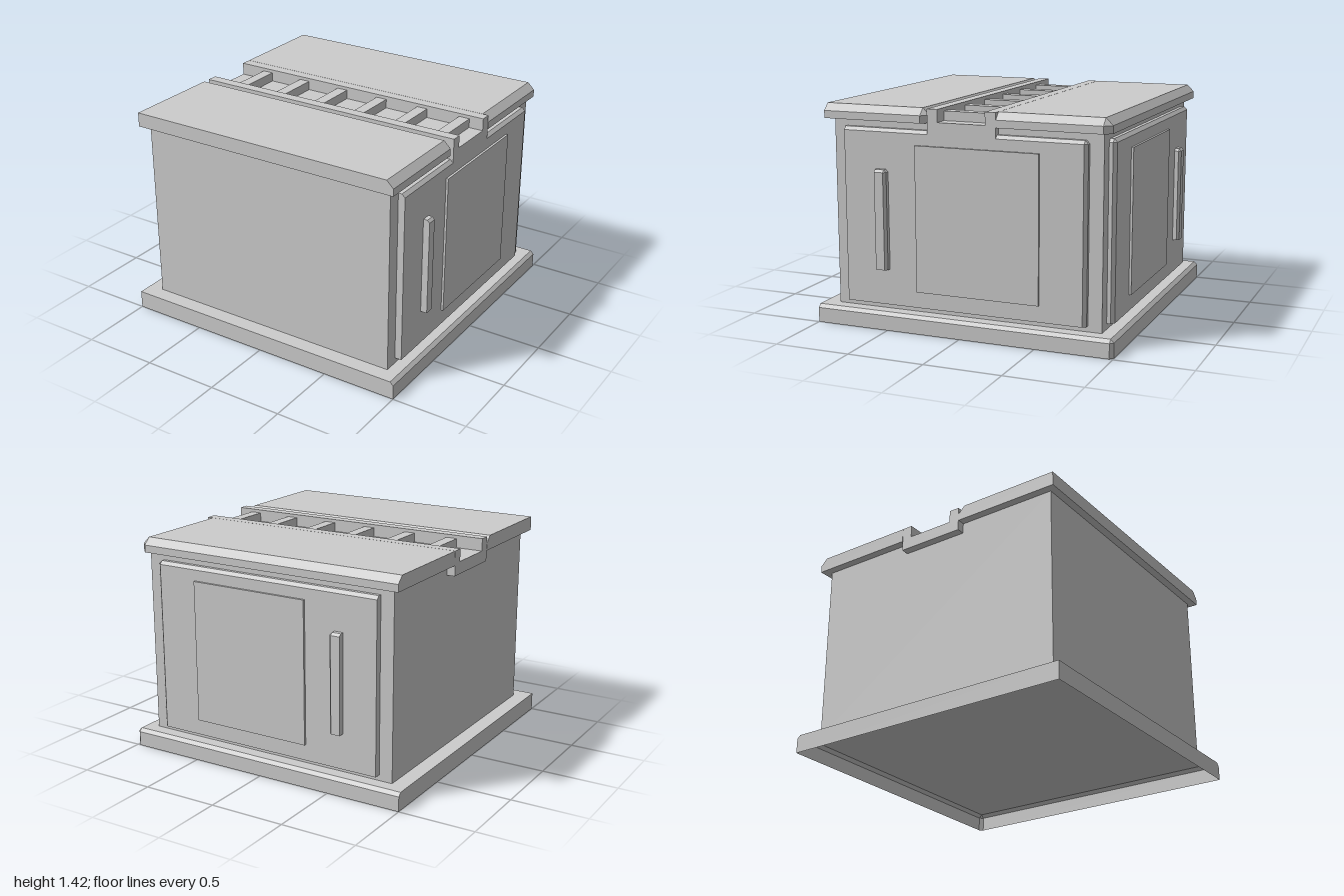
import * as THREE from 'three';

// Box whose three edges meeting at the (+x, +y, -z) corner are chamfered by c.
function chamferBox([x0, x1], [y0, y1], [z0, z1], c, openBottom = false) {
  const X = x1 - c, Y = y1 - c, Z = z0 + c;
  const faces = [
    [[x0, y1, Z], [x0, y1, z1], [X, y1, z1], [X, y1, Z]], // top
    [[x1, y0, Z], [x1, Y, Z], [x1, Y, z1], [x1, y0, z1]], // +x
    [[x0, y0, z0], [x0, Y, z0], [X, Y, z0], [X, y0, z0]], // -z
    [[x0, y0, z1], [x1, y0, z1], [x1, Y, z1], [X, y1, z1], [x0, y1, z1]], // +z
    [[x0, y0, z0], [x0, y0, z1], [x0, y1, z1], [x0, y1, Z], [x0, Y, z0]], // -x
    [[X, y1, Z], [X, y1, z1], [x1, Y, z1], [x1, Y, Z]], // chamfers
    [[x0, Y, z0], [x0, y1, Z], [X, y1, Z], [X, Y, z0]],
    [[X, y0, z0], [X, Y, z0], [x1, Y, Z], [x1, y0, Z]],
    [[X, y1, Z], [x1, Y, Z], [X, Y, z0]],
  ];
  if (!openBottom) faces.push([[x0, y0, z0], [X, y0, z0], [x1, y0, Z], [x1, y0, z1], [x0, y0, z1]]);
  const pos = [];
  for (const f of faces)
    for (let i = 1; i < f.length - 1; i++) pos.push(...f[0], ...f[i], ...f[i + 1]);
  const geo = new THREE.BufferGeometry();
  geo.setAttribute('position', new THREE.Float32BufferAttribute(pos, 3));
  geo.computeVertexNormals();
  return geo;
}

// Plain box from ranges.
function box([x0, x1], [y0, y1], [z0, z1]) {
  return new THREE.BoxGeometry(x1 - x0, y1 - y0, z1 - z0)
    .translate((x0 + x1) / 2, (y0 + y1) / 2, (z0 + z1) / 2);
}

export function createModel() {
  const model = new THREE.Group();
  model.name = 'block';
  const grey = new THREE.MeshStandardMaterial({ color: 0xcccccc, side: THREE.DoubleSide });
  grey.name = 'grey';
  const add = (name, geo) => {
    const mesh = new THREE.Mesh(geo, grey);
    mesh.name = name;
    model.add(mesh);
  };

  // Hollow plinth and main body
  add('base', chamferBox([-1, 1], [0, 0.118], [-1, 1], 0.022, true));
  add('body', box([-0.897, 0.897], [0.118, 1.33], [-0.897, 0.897]));

  // Two roof slabs either side of the channel
  add('frontRoofSlab', chamferBox([-0.95, 0.945], [1.33, 1.423], [0.23, 0.947], 0.045));
  add('backRoofSlab', chamferBox([-0.95, 0.945], [1.33, 1.423], [-0.95, -0.23], 0.045));

  // U-shaped channel running across the roof
  const u = new THREE.Shape([
    [-0.228, 1.262], [0.228, 1.262], [0.228, 1.423], [0.158, 1.423],
    [0.158, 1.342], [-0.158, 1.342], [-0.158, 1.423], [-0.228, 1.423],
  ].map(([z, y]) => new THREE.Vector2(-z, y)));
  add('channel', new THREE.ExtrudeGeometry(u, { depth: 1.892, bevelEnabled: false })
    .rotateY(Math.PI / 2).translate(-0.95, 0, 0));

  // Rungs across the channel
  for (let i = 0; i < 6; i++) {
    const x = -0.732 + i * 0.308;
    add('rung', box([x - 0.037, x + 0.037], [1.342, 1.402], [-0.158, 0.158]));
  }

  // Panel, plate and handle on the +x side, mirrored about the diagonal onto the -z side
  const mirror = ([a, b]) => [-b, -a];
  const sidePart = (name, make, out, y, along, ...rest) => {
    add(name, make(out, y, along, ...rest));
    add(name, make(mirror(along), y, mirror(out), ...rest));
  };
  sidePart('panel', chamferBox, [0.89, 0.942], [0.155, 1.285], [-0.808, 0.808], 0.021);
  sidePart('plate', box, [0.935, 0.957], [0.26, 1.193], [-0.51, 0.31]);
  sidePart('handle', chamferBox, [0.935, 0.985], [0.388, 1.03], [0.503, 0.58], 0.016);
  return model;
}
